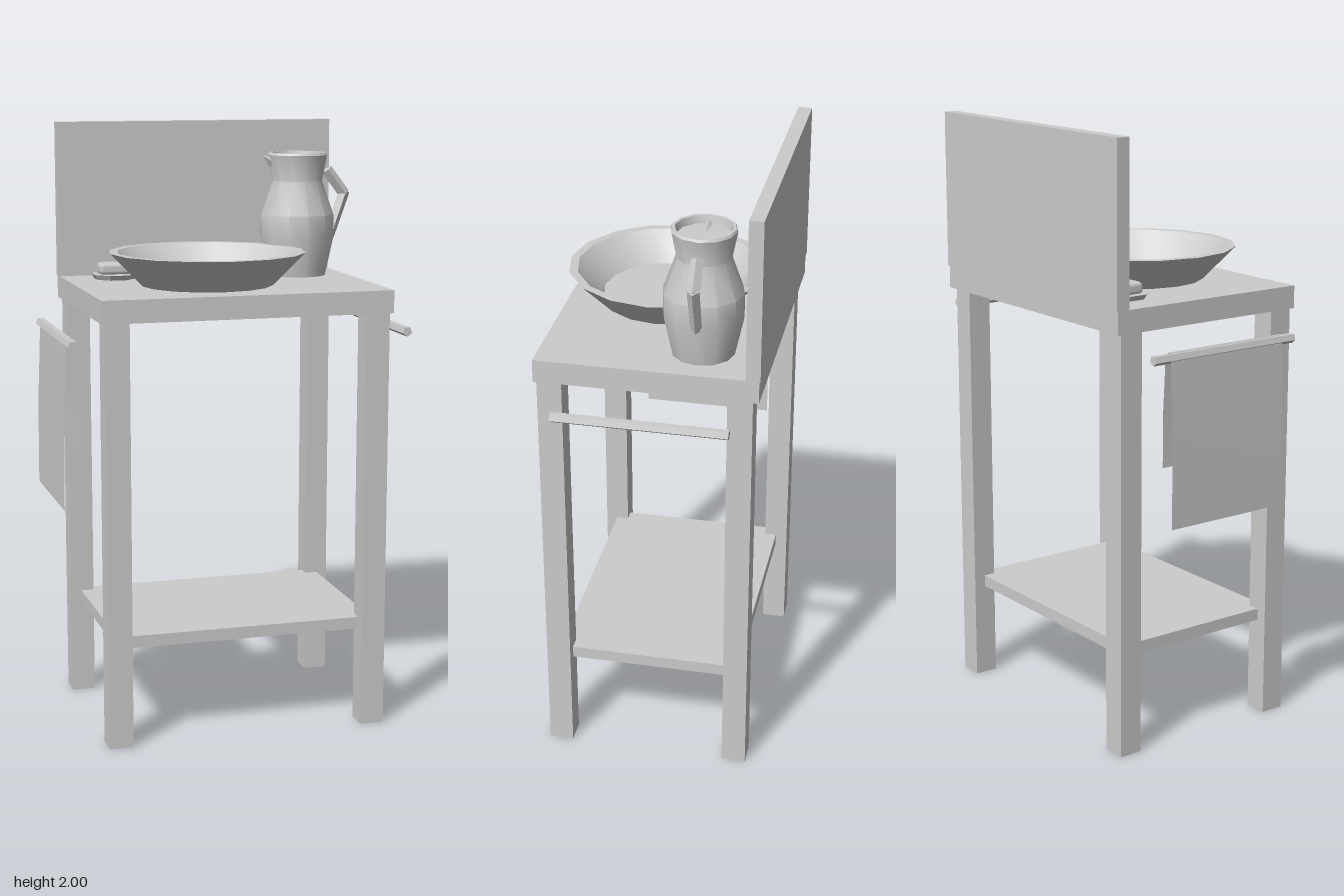
import * as THREE from 'three';
import { toCreasedNormals } from 'three/addons/utils/BufferGeometryUtils.js';
import { RoundedBoxGeometry } from 'three/addons/geometries/RoundedBoxGeometry.js';

export function createModel() {
  const model = new THREE.Group();
  model.name = 'washstand';
  const grey = new THREE.MeshStandardMaterial({ color: 0xcccccc, side: THREE.DoubleSide });
  grey.name = 'plain grey';

  const add = (name, geometry, x = 0, y = 0, z = 0, parent = model) => {
    const mesh = new THREE.Mesh(geometry, grey);
    mesh.name = name;
    mesh.position.set(x, y, z);
    parent.add(mesh);
    return mesh;
  };

  // Box given by its lower and upper limits on each axis
  const box = (name, x0, x1, y0, y1, z0, z1) =>
    add(name, new THREE.BoxGeometry(x1 - x0, y1 - y0, z1 - z0),
      (x0 + x1) / 2, (y0 + y1) / 2, (z0 + z1) / 2);

  // Straight faceted bar from a to b
  const bar = (name, a, b, r0, r1, sides, parent) => {
    const from = new THREE.Vector3(...a), to = new THREE.Vector3(...b);
    const dir = to.clone().sub(from);
    const geometry = new THREE.CylinderGeometry(r1, r0, dir.length(), sides).toNonIndexed();
    geometry.computeVertexNormals();
    const mid = from.add(to).multiplyScalar(0.5);
    const mesh = add(name, geometry, mid.x, mid.y, mid.z, parent);
    mesh.quaternion.setFromUnitVectors(new THREE.Vector3(0, 1, 0), dir.normalize());
    return mesh;
  };

  // Turned shape, smooth around but sharp at its rims
  const turned = (points, sides) => toCreasedNormals(
    new THREE.LatheGeometry(points.map(p => new THREE.Vector2(...p)), sides), 0.6);

  // Table
  box('tableTop', -0.483, 0.488, 1.4, 1.475, -0.36, 0.352);
  box('backBoard', -0.485, 0.491, 1.475, 2, -0.364, -0.318);
  box('shelf', -0.435, 0.44, 0.325, 0.365, -0.3, 0.305);
  for (const [side, x] of [['right', -0.472], ['left', 0.397]]) {
    box(side + 'FrontLeg', x, x + 0.08, 0, 1.4, 0.264, 0.344);
    box(side + 'BackLeg', x, x + 0.08, 0, 1.4, -0.34, -0.26);
  }

  // Towel rails
  for (const [side, x] of [['right', -0.56], ['left', 0.566]]) {
    bar(side + 'Rail', [x, 1.325, -0.283], [x, 1.325, 0.278], 0.017, 0.017, 5);
  }

  // Towel: a sheet bent over the rail along a profile of x, y
  const fold = [[-0.585, 0.78], [-0.583, 1.06], [-0.572, 1.325], [-0.56, 1.344],
    [-0.546, 1.325], [-0.536, 1.16], [-0.535, 0.97]];
  const towel = new THREE.PlaneGeometry(1, 1, 1, fold.length - 1);
  const pos = towel.attributes.position;
  for (let i = 0; i < pos.count; i++) {
    const [x, y] = fold[Math.floor(i / 2)];
    pos.setXYZ(i, x, y, i % 2 ? 0.225 : -0.225);
  }
  add('towel', toCreasedNormals(towel, 0.3));

  // Basin
  add('basin', turned([[0, 0], [0.22, 0], [0.328, 0.11], [0.3, 0.11], [0.215, 0.018], [0, 0.018]], 16),
    -0.055, 1.475, 0.034);

  // Jug with closed top, spout and angled handle
  const jug = new THREE.Group();
  jug.name = 'jug';
  jug.position.set(0.32, 1.475, -0.155);
  model.add(jug);
  add('jugBody', turned([[0, 0], [0.1, 0], [0.128, 0.13], [0.128, 0.21], [0.087, 0.325],
    [0.104, 0.412], [0.1, 0.42], [0.09, 0.42], [0.085, 0.395], [0, 0.395]], 12), 0, 0, 0, jug);
  bar('spout', [-0.045, 0.36, 0], [-0.127, 0.412, 0], 0.042, 0, 4, jug);
  bar('upperHandle', [0.107, 0.36, 0], [0.172, 0.275, 0], 0.02, 0.02, 4, jug);
  bar('lowerHandle', [0.172, 0.285, 0], [0.118, 0.13, 0], 0.02, 0.018, 4, jug);

  // Soap on its dish
  const dish = new THREE.CylinderGeometry(0.081, 0.07, 0.017, 8).toNonIndexed();
  dish.rotateY(Math.PI / 8);
  dish.computeVertexNormals();
  add('soapDish', dish, -0.315, 1.4835, -0.21);
  add('soap', new RoundedBoxGeometry(0.115, 0.04, 0.075, 1, 0.014), -0.314, 1.51, -0.212);

  return model;
}
